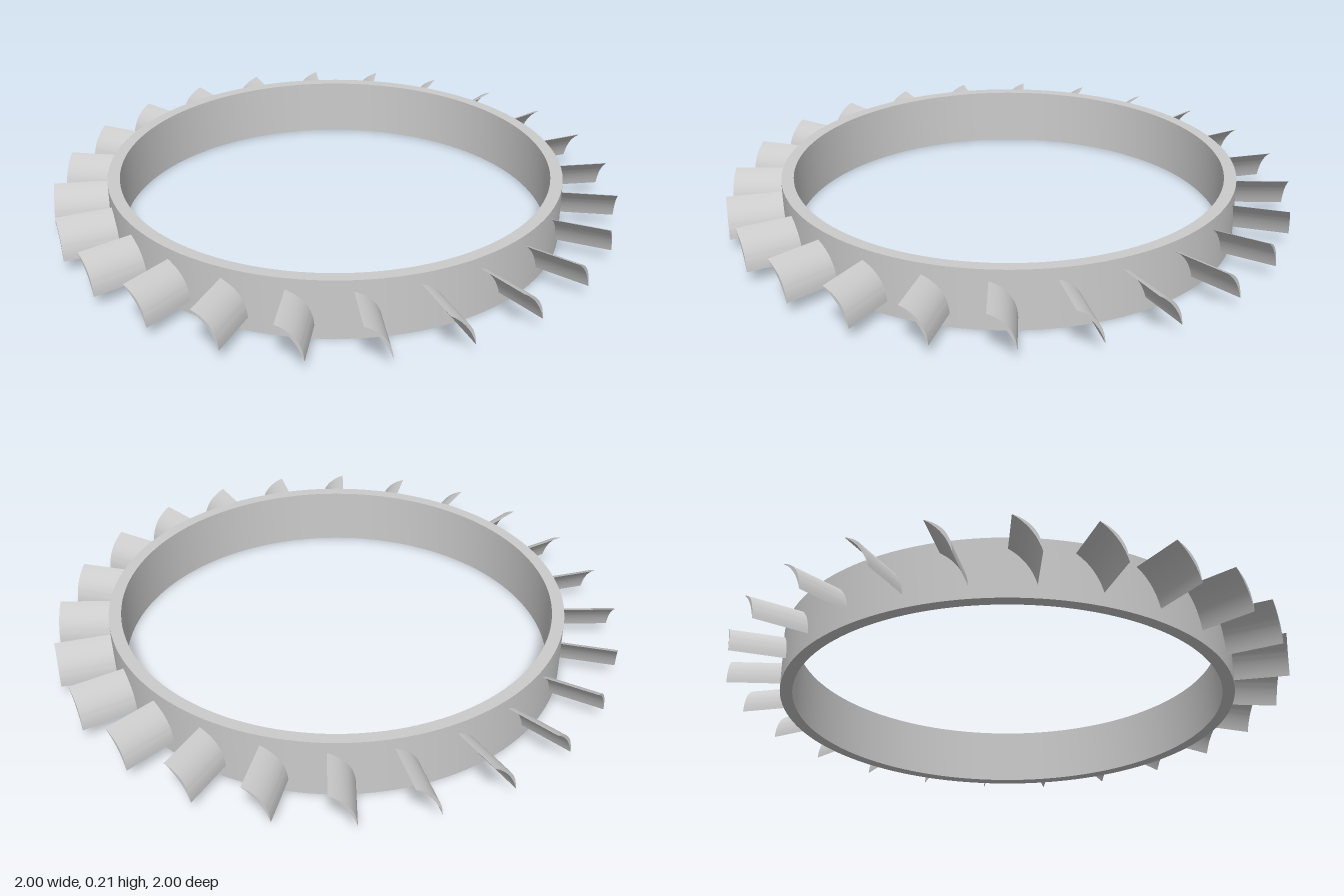
import * as THREE from 'three';
import { toCreasedNormals } from 'three/addons/utils/BufferGeometryUtils.js';

const OUTER = 0.808, INNER = 0.765, HEIGHT = 0.21;
const BLADES = 24, ROOT = 0.785, TIP = 1;

export function createModel() {
  const model = new THREE.Group();
  model.name = 'bladedRing';
  const material = new THREE.MeshStandardMaterial({ color: 0xcccccc });

  // Ring: rectangular section turned about the y axis
  const section = [[INNER, 0], [OUTER, 0], [OUTER, HEIGHT], [INNER, HEIGHT], [INNER, 0]]
    .map(([r, y]) => new THREE.Vector2(r, y));
  const ring = new THREE.Mesh(
    toCreasedNormals(new THREE.LatheGeometry(section, 128), 0.6), material);
  ring.name = 'ring';
  model.add(ring);

  // Blade: thin crescent section extruded outward along the radius
  const crescent = new THREE.Shape();
  crescent.moveTo(-0.045, 0.17);
  crescent.quadraticCurveTo(0.04, 0.14, 0.045, 0.048);
  crescent.quadraticCurveTo(0.022, 0.127, -0.045, 0.17);
  const bladeGeometry = new THREE.ExtrudeGeometry(crescent, {
    depth: TIP - ROOT, bevelEnabled: false, curveSegments: 16,
  });
  bladeGeometry.translate(0, 0, ROOT);
  const smoothBlade = toCreasedNormals(bladeGeometry, 0.3);

  // Evenly spaced blades around the ring
  for (let i = 0; i < BLADES; i++) {
    const blade = new THREE.Mesh(smoothBlade, material);
    blade.name = `blade${i + 1}`;
    blade.rotation.y = (i / BLADES) * Math.PI * 2;
    model.add(blade);
  }
  return model;
}
